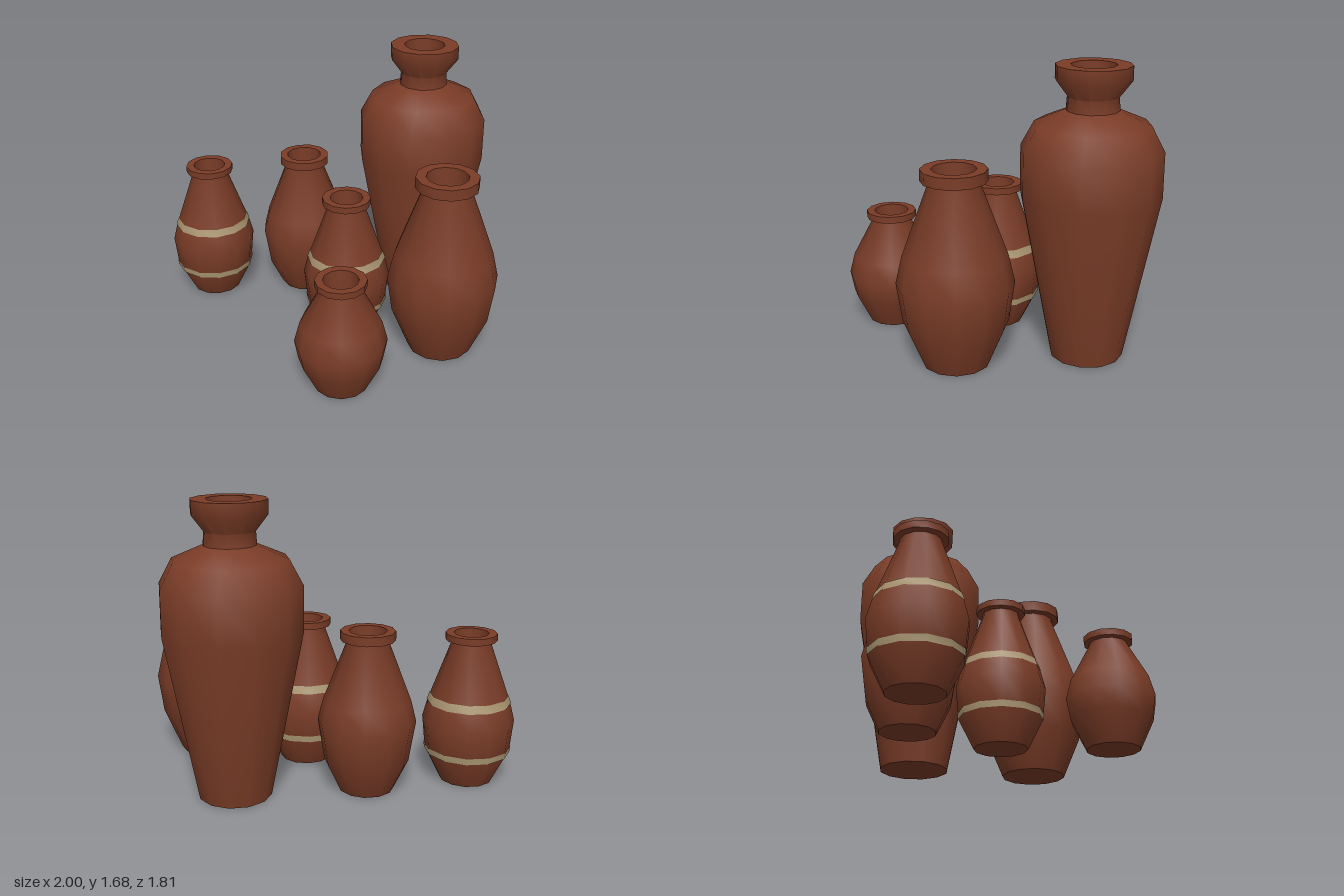
import * as THREE from 'three';
import { toCreasedNormals } from 'three/addons/utils/BufferGeometryUtils.js';

const SIDES = 12;
const clay = new THREE.MeshStandardMaterial({ color: 0x7a3c27 });
clay.name = 'clay';
const dark = new THREE.MeshStandardMaterial({ color: 0x240e0e });
dark.name = 'dark interior';
const sand = new THREE.MeshStandardMaterial({ color: 0xa89470 });
sand.name = 'sand stripe';

// Outer profiles as [radius, height], from the foot up to the outer lip
const stripedProfile = [[0.157, 0], [0.245, 0.175], [0.265, 0.37], [0.238, 0.475],
  [0.112, 0.83], [0.112, 0.84], [0.148, 0.845], [0.148, 0.885]];
const slimProfile = [[0.16, 0], [0.242, 0.17], [0.28, 0.41], [0.25, 0.53],
  [0.12, 0.87], [0.12, 0.88], [0.156, 0.885], [0.156, 0.937]];
const roundProfile = [[0.157, 0], [0.245, 0.18], [0.267, 0.3], [0.235, 0.42],
  [0.115, 0.645], [0.115, 0.655], [0.148, 0.66], [0.148, 0.7]];
const tallProfile = [[0.195, 0], [0.3, 0.25], [0.332, 0.48], [0.295, 0.64],
  [0.145, 1.05], [0.145, 1.068], [0.186, 1.072], [0.186, 1.138]];
const giantProfile = [[0.21, 0], [0.395, 0.96], [0.395, 1.22], [0.32, 1.36],
  [0.147, 1.435], [0.142, 1.51], [0.21, 1.6], [0.21, 1.68]];

const vases = [
  { name: 'stripedVaseBack', x: -0.735, z: -0.645, turn: 0, mouth: 0.1, profile: stripedProfile, stripes: true },
  { name: 'stripedVaseMiddle', x: 0.027, z: 0.012, turn: 0.26, mouth: 0.1, profile: stripedProfile, stripes: true },
  { name: 'slimVase', x: -0.125, z: -0.562, turn: 0.07, mouth: 0.108, profile: slimProfile },
  { name: 'roundVase', x: -0.145, z: 0.635, turn: -0.19, mouth: 0.102, profile: roundProfile },
  { name: 'tallVase', x: 0.535, z: 0.375, turn: -0.19, mouth: 0.125, profile: tallProfile },
  { name: 'giantVase', x: 0.605, z: -0.375, turn: 0.07, mouth: 0.125, profile: giantProfile },
];

function lathe(points) {
  const geo = new THREE.LatheGeometry(points.map(([r, y]) => new THREE.Vector2(r, y)), SIDES);
  return toCreasedNormals(geo, 0.8);
}

// Radius of a profile at height y
function radiusAt(profile, y) {
  const i = profile.findIndex((p) => p[1] > y);
  const [r0, y0] = profile[i - 1];
  const [r1, y1] = profile[i];
  return r0 + (r1 - r0) * (y - y0) / (y1 - y0);
}

function addMesh(group, name, geometry, material) {
  const mesh = new THREE.Mesh(geometry, material);
  mesh.name = name;
  group.add(mesh);
  return mesh;
}

function makeVase({ name, x, z, turn, mouth, profile, stripes }) {
  const vase = new THREE.Group();
  vase.name = name;
  vase.position.set(x, 0, z);
  vase.rotation.y = turn;
  const top = profile[profile.length - 1][1];
  const floor = top - 0.2;

  // Foot, body, lip and inner wall in one turned shell
  addMesh(vase, 'body', lathe([[0, 0], ...profile, [mouth, top], [mouth * 0.97, floor]]), clay);

  // Dark hollow inside the mouth
  const hollow = addMesh(vase, 'hollow', new THREE.CircleGeometry(mouth, SIDES * 2), dark);
  hollow.rotation.x = -Math.PI / 2;
  hollow.position.y = floor + 0.005;

  // Painted bands that follow the body
  if (stripes) {
    for (const [low, high] of [[0.175, 0.212], [0.475, 0.52]]) {
      const band = [low, high].map((y) => [radiusAt(profile, y) + 0.004, y]);
      addMesh(vase, 'stripe', lathe(band), sand);
    }
  }
  return vase;
}

export function createModel() {
  const model = new THREE.Group();
  model.name = 'vases';
  vases.forEach((v) => model.add(makeVase(v)));
  return model;
}
